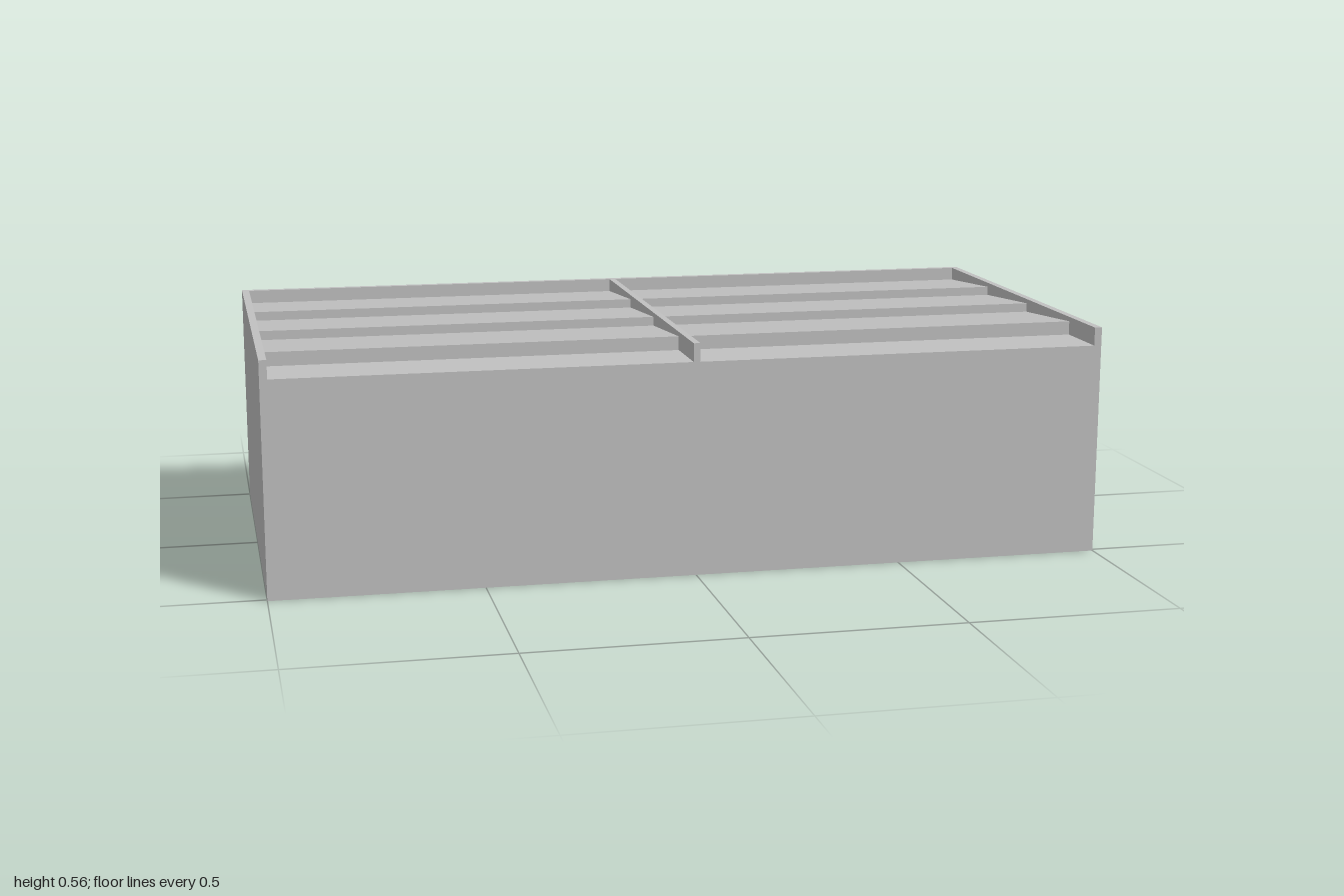
import * as THREE from 'three';

const HALF_W = 1, HALF_D = 0.51, TOP = 0.556, DECK = 0.512;
const WALL = 0.018, DIVIDER = 0.016;
const LOW = 0.523, HIGH = 0.545; // slope heights of each sloped panel
const BACK = -HALF_D + WALL, PITCH = 0.282, PANELS = 3;

export function createModel() {
  const group = new THREE.Group();
  group.name = 'sawtoothRoofBlock';
  const grey = new THREE.MeshStandardMaterial({ color: 0xc0c0c0 });

  const add = (name, geometry) => {
    const mesh = new THREE.Mesh(geometry, grey);
    mesh.name = name;
    group.add(mesh);
    return mesh;
  };
  // Box given by its lower and upper corners
  const box = (name, x0, x1, y0, y1, z0, z1) =>
    add(name, new THREE.BoxGeometry(x1 - x0, y1 - y0, z1 - z0))
      .position.set((x0 + x1) / 2, (y0 + y1) / 2, (z0 + z1) / 2);

  // Main body with the flat front deck
  const inner = HALF_W - WALL;
  box('body', -inner, inner, 0, DECK, BACK, HALF_D);

  // Side and back walls, rising above the deck as parapets
  box('rightWall', -HALF_W, -inner, 0, TOP, -HALF_D, HALF_D);
  box('leftWall', inner, HALF_W, 0, TOP, -HALF_D, HALF_D);
  box('backWall', -inner, inner, 0, TOP, -HALF_D, BACK);

  // Middle divider
  box('divider', -DIVIDER / 2, DIVIDER / 2, DECK, TOP, BACK, HALF_D);

  // Sloped panels: a sawtooth profile, low at the back and high at the front
  const profile = new THREE.Shape();
  profile.moveTo(BACK, DECK);
  profile.lineTo(BACK + PANELS * PITCH, DECK);
  for (let i = PANELS; i > 0; i--) {
    profile.lineTo(BACK + i * PITCH, LOW);
    profile.lineTo(BACK + i * PITCH, HIGH);
  }
  profile.lineTo(BACK, LOW);

  const bayWidth = inner - DIVIDER / 2;
  const bay = new THREE.ExtrudeGeometry(profile, { depth: bayWidth, bevelEnabled: false });
  bay.rotateY(-Math.PI / 2);
  add('leftSlopedPanels', bay).position.x = inner;
  add('rightSlopedPanels', bay).position.x = -DIVIDER / 2;

  return group;
}
